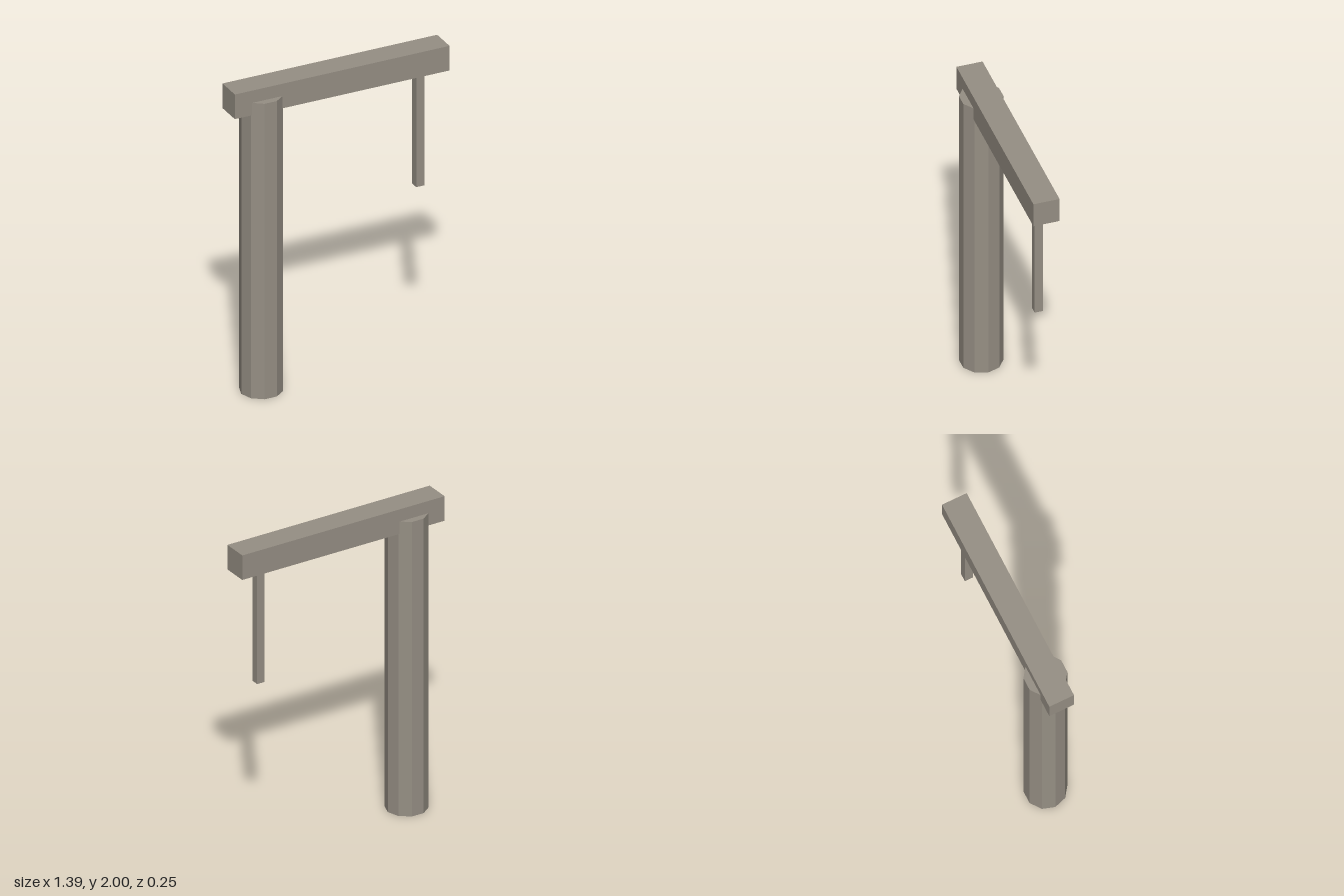
import * as THREE from 'three';

export function createModel() {
  const model = new THREE.Group();
  const stone = new THREE.MeshStandardMaterial({ color: 0x968f84 });
  stone.name = 'warm grey';

  function add(name, geometry, x, y, z) {
    const mesh = new THREE.Mesh(geometry, stone);
    mesh.name = name;
    mesh.position.set(x, y, z);
    model.add(mesh);
  }

  // Ten-sided post with a flat side to the front, faceted
  const postHeight = 1.92;
  const post = new THREE.CylinderGeometry(0.129, 0.129, postHeight, 10)
    .rotateY(Math.PI / 10)
    .toNonIndexed();
  post.computeVertexNormals();
  add('post', post, -0.486, postHeight / 2, 0);

  // Crossbeam resting over the post
  add('crossbeam', new THREE.BoxGeometry(1.394, 0.16, 0.16), 0, 1.92, 0);

  // Thin hanger below the free end of the beam
  add('hanger', new THREE.BoxGeometry(0.052, 0.74, 0.052), 0.534, 1.47, 0);

  return model;
}
